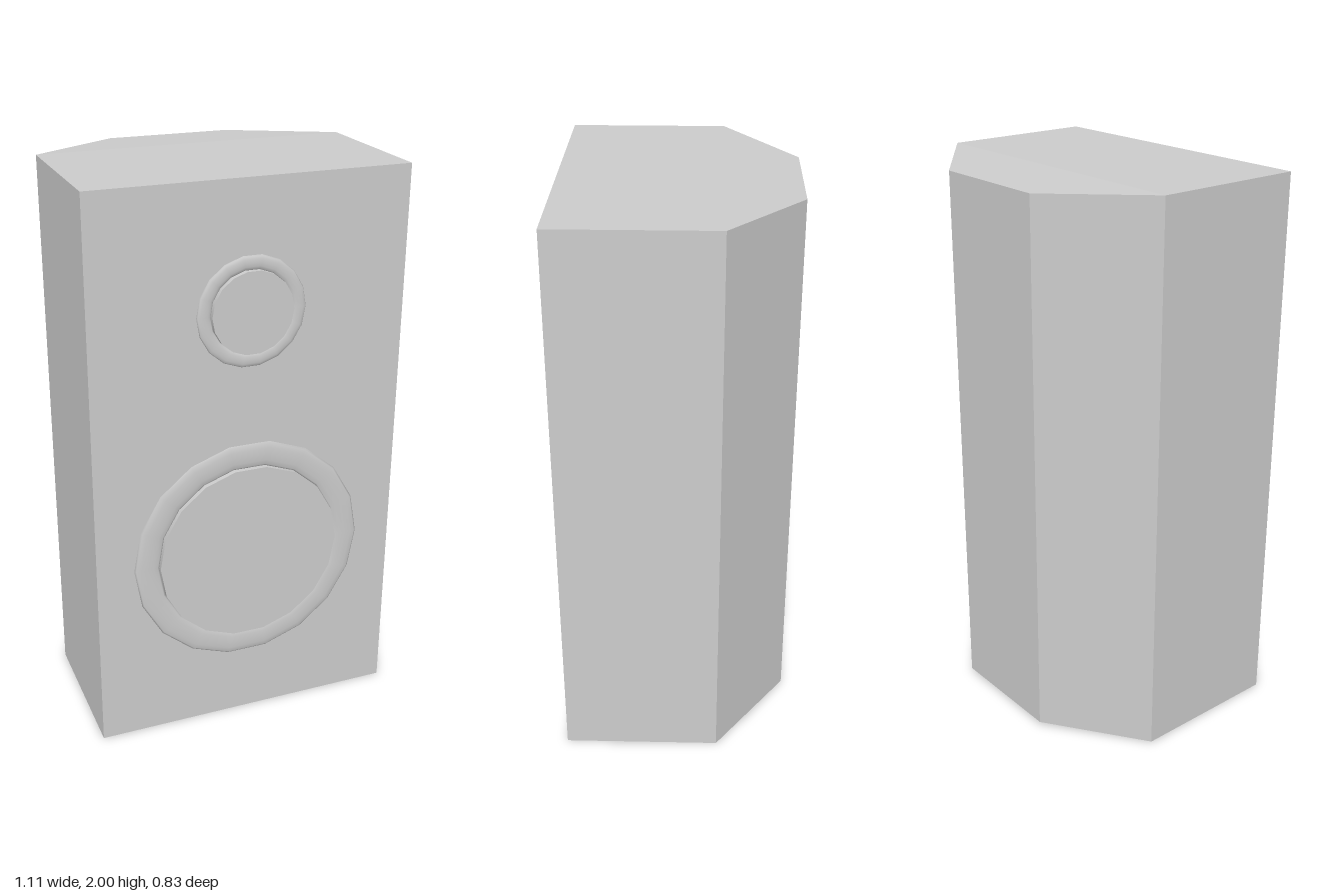
import * as THREE from 'three';
import { ConvexGeometry } from 'three/addons/geometries/ConvexGeometry.js';

const FRONT_Z = 0.395;
const SIDES = 18;

export function createModel() {
  const model = new THREE.Group();
  model.name = 'loudspeaker';
  const material = new THREE.MeshStandardMaterial({ color: 0xcccccc });

  const add = (parent, name, geometry, mat = material) => {
    const mesh = new THREE.Mesh(geometry, mat);
    mesh.name = name;
    parent.add(mesh);
    return mesh;
  };

  // Cabinet: square front, chamfered back whose top and bottom taper slightly
  const sections = [
    // z, half width, inset of top and bottom
    [FRONT_Z, 0.555, 0],
    [-0.157, 0.555, 0],
    [-0.413, 0.222, 0.015],
  ];
  const corners = [];
  for (const [z, halfWidth, inset] of sections) {
    for (const x of [-halfWidth, halfWidth]) {
      corners.push(new THREE.Vector3(x, inset, z), new THREE.Vector3(x, 2 - inset, z));
    }
  }
  const cabinetMaterial = material.clone();
  cabinetMaterial.flatShading = true;
  add(model, 'cabinet', new ConvexGeometry(corners), cabinetMaterial);

  // Driver: shallow rounded surround with a raised flat disc in the middle
  const addDriver = (name, y, outer, inner) => {
    const driver = new THREE.Group();
    driver.name = name;
    driver.position.set(0, y, FRONT_Z);
    model.add(driver);

    const tube = (outer - inner) / 2;
    const ring = new THREE.TorusGeometry(outer - tube, tube, 12, SIDES);
    ring.scale(1, 1, 0.008 / tube);
    add(driver, name + 'Surround', ring);

    const disc = new THREE.CylinderGeometry(inner, inner, 0.036, SIDES, 1, false, Math.PI / 2);
    disc.rotateX(Math.PI / 2);
    add(driver, name + 'Disc', disc);
  };
  addDriver('tweeter', 1.56, 0.192, 0.143);
  addDriver('woofer', 0.67, 0.422, 0.332);

  return model;
}
